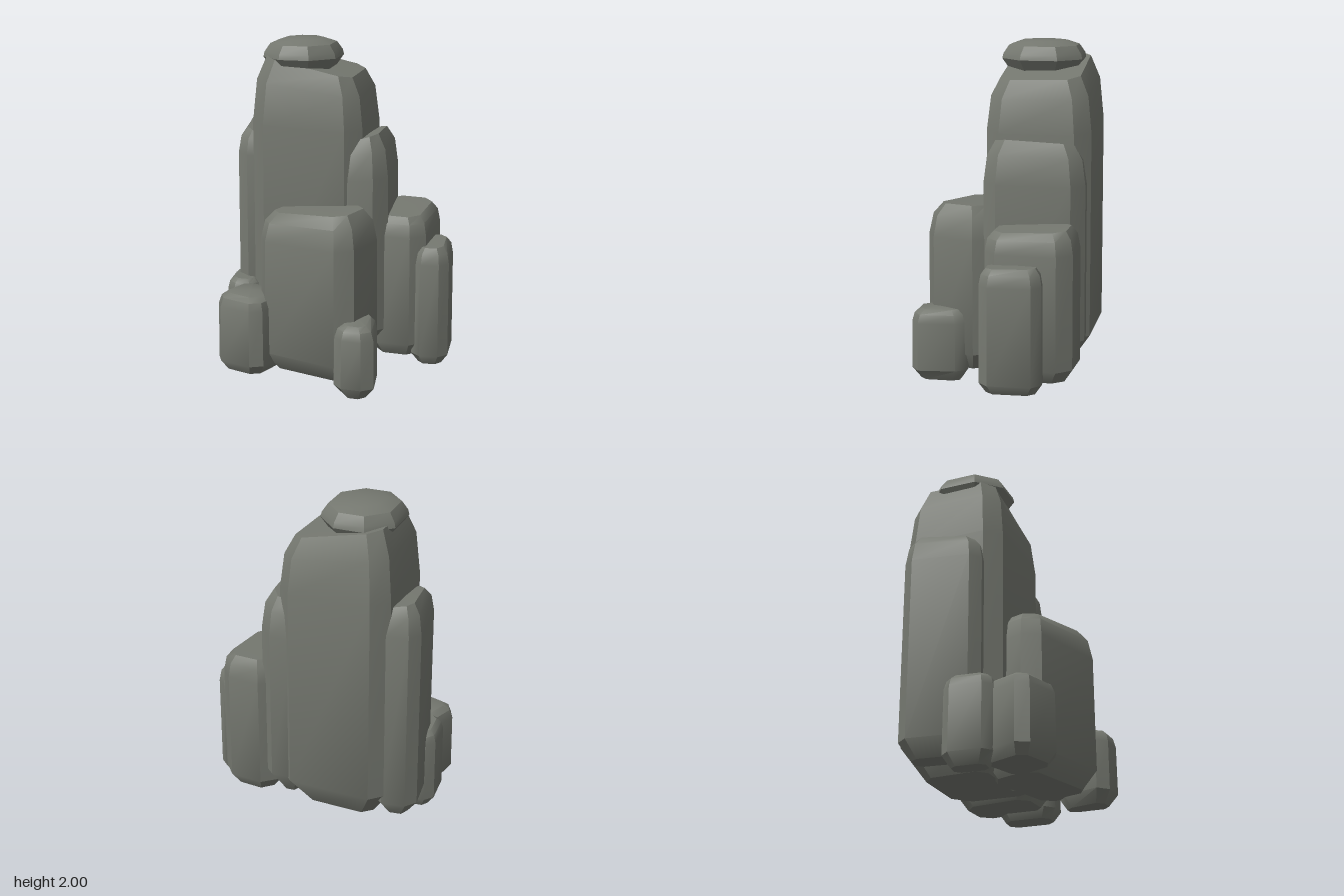
import * as THREE from 'three';
import { toCreasedNormals } from 'three/addons/utils/BufferGeometryUtils.js';

const stone = new THREE.MeshStandardMaterial({ color: 0x757870 });
stone.name = 'greyStone';

// Rock column: a turned rectangle with cut corners, lofted through five levels and bevelled at both ends.
// levels: base, top of the foot bevel, shoulder, crown. tilt: slope of the crown along x and z.
function rock(name, { centre, half, corner, turn = 0, levels, inset, tilt = [0, 0], taper = 0 }) {
  const [cx, cz] = centre, [w, d] = half, [base, foot, shoulder, crown] = levels;
  const a = w - corner, b = d - corner;
  const outline = [[-w, b], [-a, d], [a, d], [w, b], [w, -b], [a, -d], [-a, -d], [-w, -b]];
  const mid = shoulder + (crown - shoulder) * 0.65;
  const rings = [[base, (foot - base) * 0.65, 0], [foot, 0, 0], [shoulder, inset * 0.06, 0.2],
    [mid, inset * 0.35, 0.6], [crown, inset, 1]];
  const n = outline.length, pos = [], index = [];
  for (const [y, bevel, lean] of rings) {
    for (const [u, v] of outline) {
      const z = v * (1 - bevel / d), x = u * (1 - bevel / w) * (1 + taper * z);
      const px = x * Math.cos(turn) + z * Math.sin(turn);
      const pz = z * Math.cos(turn) - x * Math.sin(turn);
      pos.push(cx + px, y + lean * (tilt[0] * px + tilt[1] * pz), cz + pz);
    }
  }
  pos.push(cx, base, cz, cx, crown + 0.005, cz);
  const bottom = rings.length * n, topRow = bottom - n;
  for (let i = 0; i < n; i++) {
    const j = (i + 1) % n;
    for (let r = 0; r < topRow; r += n) {
      index.push(r + i, r + j, r + j + n, r + i, r + j + n, r + i + n);
    }
    index.push(bottom, j, i, bottom + 1, topRow + i, topRow + j);
  }
  const geometry = new THREE.BufferGeometry();
  geometry.setAttribute('position', new THREE.Float32BufferAttribute(pos, 3));
  geometry.setIndex(index);
  const mesh = new THREE.Mesh(toCreasedNormals(geometry, 0.6), stone);
  mesh.name = name;
  return mesh;
}

export function createModel() {
  const group = new THREE.Group();
  group.name = 'rockFormation';

  // Tall core with its rounded cap
  group.add(rock('mainPillar', { centre: [-0.18, -0.17], half: [0.34, 0.315], corner: 0.09, turn: 0.1,
    levels: [0.08, 0.27, 1.5, 1.85], inset: 0.08, tilt: [-0.22, 0] }));
  group.add(rock('capBoulder', { centre: [-0.25, -0.135], half: [0.22, 0.24], corner: 0.13, turn: 0.12,
    levels: [1.8, 1.89, 1.92, 1.995], inset: 0.11 }));

  // Pillars leaning against the core
  group.add(rock('leftPillar', { centre: [-0.52, -0.14], half: [0.13, 0.235], corner: 0.06, turn: 0.25,
    levels: [0.12, 0.22, 1.31, 1.46], inset: 0.055, tilt: [-0.25, -0.05] }));
  group.add(rock('rightPillar', { centre: [0.14, -0.2], half: [0.155, 0.3], corner: 0.08, turn: 0.17,
    levels: [0.12, 0.28, 1.2, 1.43], inset: 0.07, tilt: [0.3, 0] }));
  group.add(rock('lowerRightPillar', { centre: [0.36, -0.25], half: [0.18, 0.26], corner: 0.08, turn: 0.04,
    levels: [0.11, 0.19, 0.86, 0.985], inset: 0.05, tilt: [-0.02, -0.05] }));
  group.add(rock('outerRightPillar', { centre: [0.56, -0.185], half: [0.11, 0.18], corner: 0.055, turn: 0.17,
    levels: [0.07, 0.13, 0.7, 0.8], inset: 0.04, tilt: [0.03, -0.03] }));

  // Broad block in front
  group.add(rock('frontBlock', { centre: [-0.03, 0.2], half: [0.325, 0.22], corner: 0.085, turn: -0.2,
    levels: [0.06, 0.17, 0.86, 1.04], inset: 0.075, tilt: [0.07, 0] }));

  // Small stones around the foot
  group.add(rock('frontLeftStone', { centre: [-0.43, 0.29], half: [0.165, 0.17], corner: 0.06, turn: -0.23,
    levels: [0.05, 0.11, 0.45, 0.525], inset: 0.055, tilt: [-0.03, 0] }));
  group.add(rock('leftStone', { centre: [-0.56, 0.06], half: [0.1, 0.145], corner: 0.05, turn: 0.2,
    levels: [0.03, 0.1, 0.48, 0.55], inset: 0.04, tilt: [-0.05, 0] }));
  group.add(rock('frontRightStone', { centre: [0.275, 0.345], half: [0.1, 0.165], corner: 0.055, turn: 0.04,
    levels: [0, 0.07, 0.36, 0.44], inset: 0.045, tilt: [-0.03, 0], taper: 2 }));
  return group;
}
